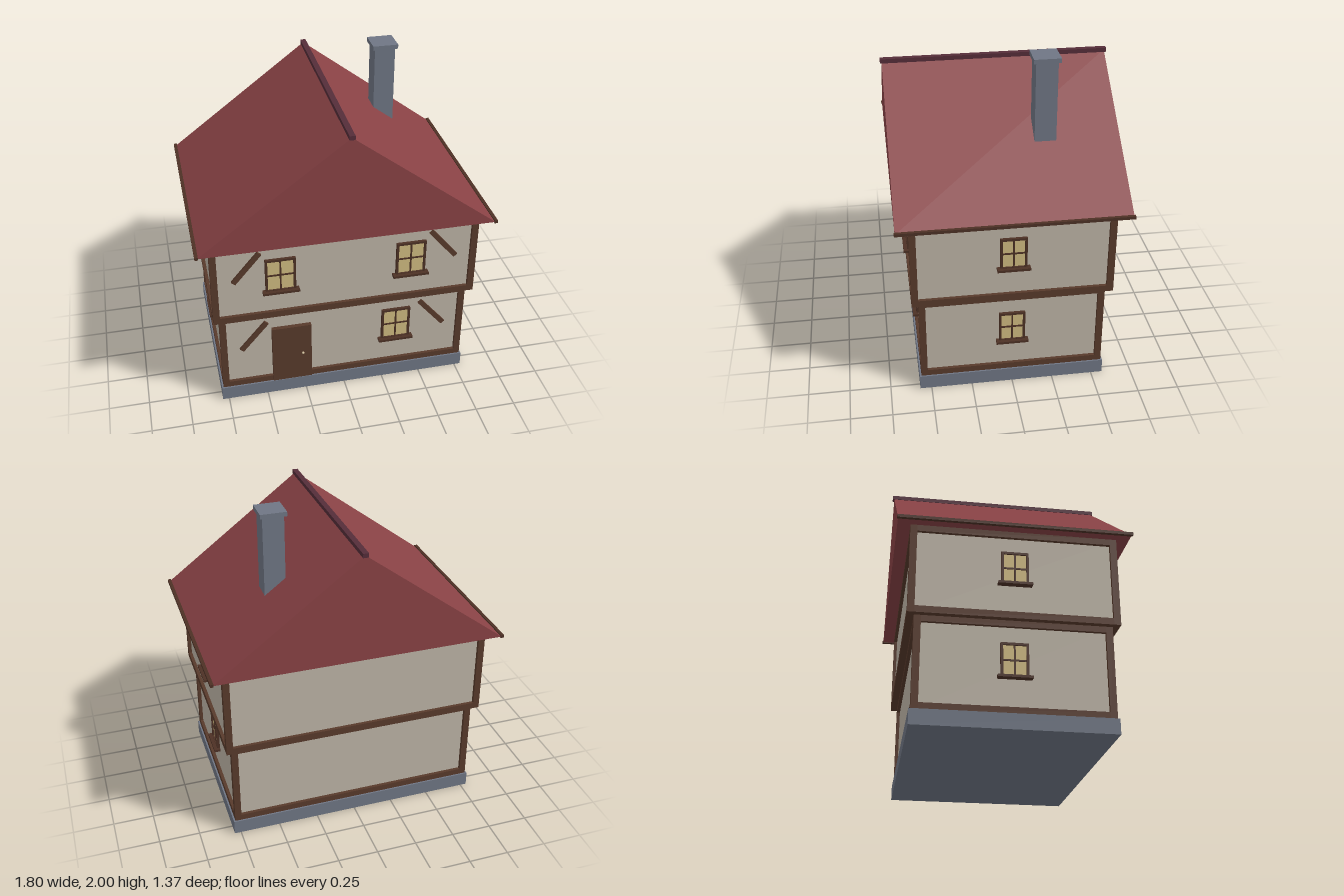
import * as THREE from 'three';

const mat = (name, color) => {
  const m = new THREE.MeshStandardMaterial({ color });
  m.name = name;
  return m;
};

export function createModel() {
  const plaster = mat('plaster', 0xbdb4a6);
  const timber = mat('timber', 0x583a2b);
  const trim = mat('dark timber', 0x4d3125);
  const stone = mat('stone', 0x6f7684);
  const tile = mat('roof tile', 0x894245);
  const ridgeTile = mat('ridge tile', 0x552d39);
  const glass = mat('lit glass', 0xd0bb81);
  const metal = mat('knob metal', 0xcdbb98);

  const house = new THREE.Group();
  house.name = 'house';

  // Box given by its size and centre
  const box = (parent, name, m, w, h, d, x, y, z) => {
    const mesh = new THREE.Mesh(new THREE.BoxGeometry(w, h, d), m);
    mesh.name = name;
    mesh.position.set(x, y, z);
    parent.add(mesh);
    return mesh;
  };

  box(house, 'foundation', stone, 1.58, 0.09, 1.14, 0, 0.045, 0);

  // One storey: plaster core framed by corner posts and beams centred on its faces
  const T = 0.04;
  const storey = (name, hx, hz, y0, y1) => {
    const g = new THREE.Group();
    g.name = name;
    house.add(g);
    box(g, 'plasterWalls', plaster, hx * 2, y1 - y0 - 0.01, hz * 2, 0, (y0 + y1) / 2, 0);
    for (const s of [-1, 1]) {
      for (const t of [-1, 1])
        box(g, 'cornerPost', timber, T, y1 - y0, T, s * hx, (y0 + y1) / 2, t * hz);
      for (const y of [y0 + T / 2, y1 - T / 2]) {
        box(g, 'longBeam', timber, hx * 2 - T, T, T, 0, y, s * hz);
        box(g, 'sideBeam', timber, T, T, hz * 2 - T, s * hx, y, 0);
      }
    }
  };
  storey('lowerStorey', 0.76, 0.54, 0.088, 0.638);
  storey('upperStorey', 0.795, 0.58, 0.634, 1.182);

  // Window facing +z, origin at its centre on the wall surface
  const windowUnit = (w, h, x, y, z, turn = 0) => {
    const g = new THREE.Group();
    g.name = 'window';
    const f = 0.014;
    box(g, 'glass', glass, w - f, h - f, 0.008, 0, 0, 0.004);
    for (const s of [-1, 1]) {
      box(g, 'frameSide', trim, f, h, 0.018, s * (w - f) / 2, 0, 0.009);
      box(g, 'frameRail', trim, w - 2 * f, f, 0.018, 0, s * (h - f) / 2, 0.009);
    }
    box(g, 'mullion', trim, 0.01, h - 2 * f, 0.014, 0, 0, 0.007);
    box(g, 'transom', trim, w - 2 * f, 0.01, 0.013, 0, 0, 0.0065);
    box(g, 'sill', trim, w + 0.038, 0.015, 0.04, 0, -h / 2 + 0.002, 0.02);
    g.position.set(x, y, z);
    g.rotation.y = turn;
    house.add(g);
  };
  windowUnit(0.184, 0.23, 0.335, 0.41, 0.54);
  for (const s of [-1, 1]) {
    windowUnit(0.184, 0.23, s * 0.4, 0.935, 0.58);
    windowUnit(0.158, 0.205, s * 0.76, 0.4, 0, s * Math.PI / 2);
    windowUnit(0.158, 0.205, s * 0.795, 0.947, 0, s * Math.PI / 2);

    // Slanted braces on the front
    for (const [x, y, z] of [[0.57, 0.46, 0.54], [0.602, 1.01, 0.58]]) {
      const brace = box(house, 'brace', timber, 0.25, 0.031, 0.03, s * x, y, z);
      brace.rotation.z = -s * THREE.MathUtils.degToRad(50);
    }
  }

  // Door and knob
  box(house, 'door', timber, 0.248, 0.413, 0.03, -0.336, 0.297, 0.552);
  const knob = new THREE.Mesh(new THREE.SphereGeometry(0.008, 10, 8), metal);
  knob.name = 'doorKnob';
  knob.position.set(-0.268, 0.29, 0.571);
  house.add(knob);

  // Gabled roof
  const gable = new THREE.Shape();
  gable.moveTo(-0.885, 1.18);
  gable.lineTo(0.885, 1.18);
  gable.lineTo(0, 1.847);
  gable.closePath();
  const roofGeo = new THREE.ExtrudeGeometry(gable, { depth: 1.35, bevelEnabled: false });
  roofGeo.translate(0, 0, -0.675);
  const roof = new THREE.Mesh(roofGeo, tile);
  roof.name = 'roof';
  house.add(roof);
  box(house, 'ridge', ridgeTile, 0.034, 0.026, 1.37, 0, 1.85, 0);
  for (const s of [-1, 1])
    box(house, 'eaveBoard', trim, 0.02, 0.018, 1.36, s * 0.888, 1.183, 0);

  // Chimney
  box(house, 'chimneyStack', stone, 0.128, 0.58, 0.128, 0.412, 1.69, -0.232);
  box(house, 'chimneyCap', stone, 0.157, 0.027, 0.157, 0.412, 1.9865, -0.232);

  return house;
}
